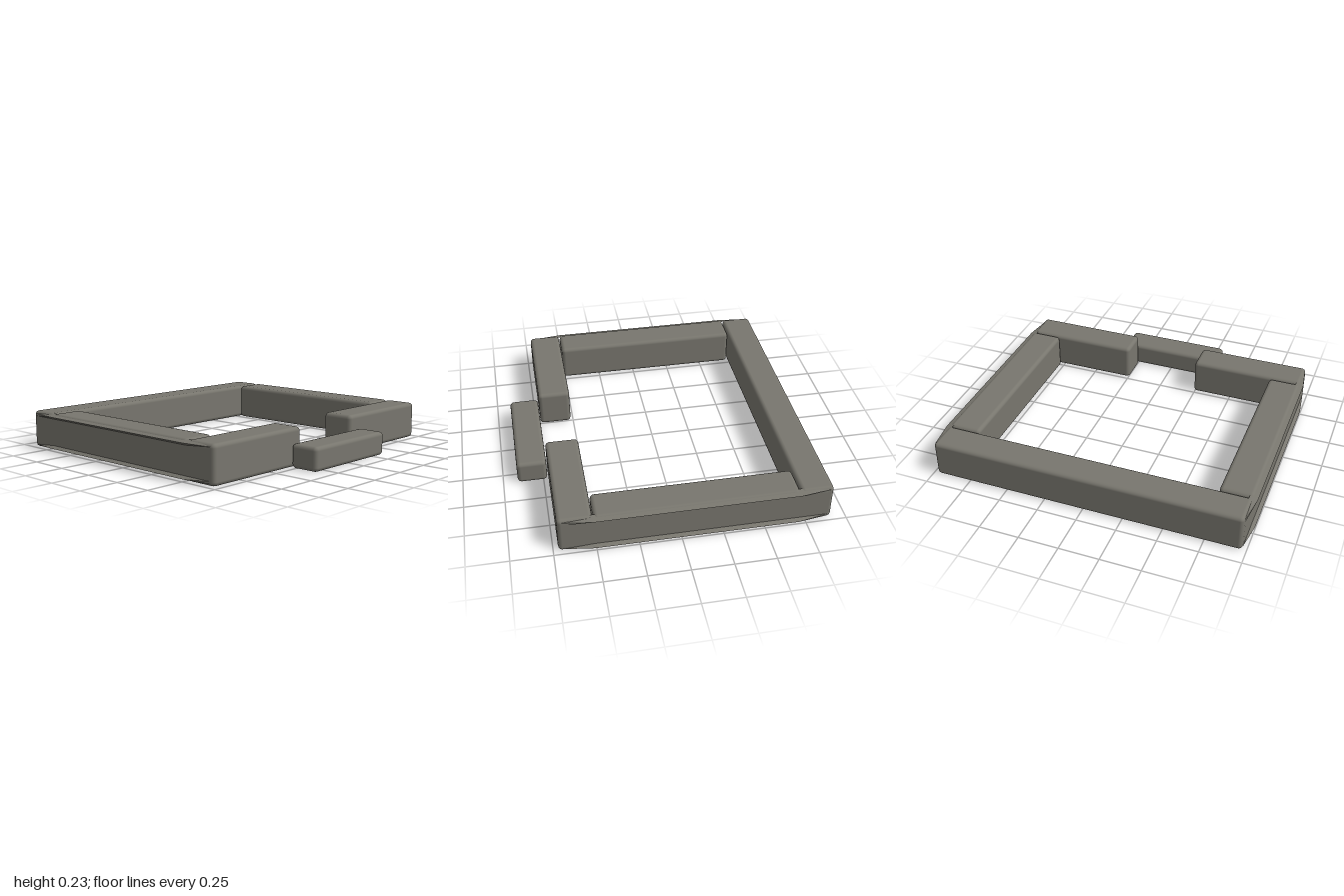
import * as THREE from 'three';
import { RoundedBoxGeometry } from 'three/addons/geometries/RoundedBoxGeometry.js';

const stone = new THREE.MeshStandardMaterial({ color: 0x78766e });
stone.name = 'weathered stone';

// Bevelled beam given by its extents
function beam(name, x0, x1, z0, z1, height) {
  const mesh = new THREE.Mesh(
    new RoundedBoxGeometry(x1 - x0, height, z1 - z0, 2, 0.025), stone);
  mesh.position.set((x0 + x1) / 2, height / 2, (z0 + z1) / 2);
  mesh.name = name;
  return mesh;
}

// Outer skin of a side: thin lips along the top and bottom, tapering at both ends
function sideSkin() {
  const stations = [[-0.885, 0.975], [-0.705, 1.0], [0.51, 1.0], [0.69, 0.975]];
  const section = (z, out) => [
    [0.95, 0.232, z], [out, 0.218, z], [0.977, 0.203, z],
    [0.977, 0.03, z], [out, 0.015, z], [0.95, 0.001, z],
  ];
  const positions = [];
  for (let i = 0; i < stations.length - 1; i++) {
    const a = section(...stations[i]);
    const b = section(...stations[i + 1]);
    for (let j = 0; j < a.length - 1; j++) {
      positions.push(...a[j], ...b[j], ...b[j + 1], ...a[j], ...b[j + 1], ...a[j + 1]);
    }
  }
  const geometry = new THREE.BufferGeometry();
  geometry.setAttribute('position', new THREE.Float32BufferAttribute(positions, 3));
  geometry.computeVertexNormals();
  return geometry;
}

export function createModel() {
  const group = new THREE.Group();
  group.name = 'lowWallFrame';
  const height = 0.235;

  // Back wall and low front threshold
  group.add(beam('backWall', -0.975, 0.975, -0.91, -0.71, height));
  group.add(beam('threshold', -0.34, 0.34, 0.725, 0.91, 0.147));

  // Side walls and the two front walls beside the opening
  group.add(beam('leftWall', 0.77, 0.977, -0.705, 0.51, height));
  group.add(beam('rightWall', -0.977, -0.77, -0.705, 0.51, height));
  group.add(beam('frontLeftWall', 0.242, 0.975, 0.515, 0.72, height));
  group.add(beam('frontRightWall', -0.975, -0.242, 0.515, 0.72, height));

  // Outer lips, the right one turned half way round the frame's centre
  const skin = sideSkin();
  const left = new THREE.Mesh(skin, stone);
  left.name = 'leftOuterLip';
  const right = new THREE.Mesh(skin, stone);
  right.name = 'rightOuterLip';
  right.rotation.y = Math.PI;
  right.position.z = -0.195;
  group.add(left, right);

  return group;
}
